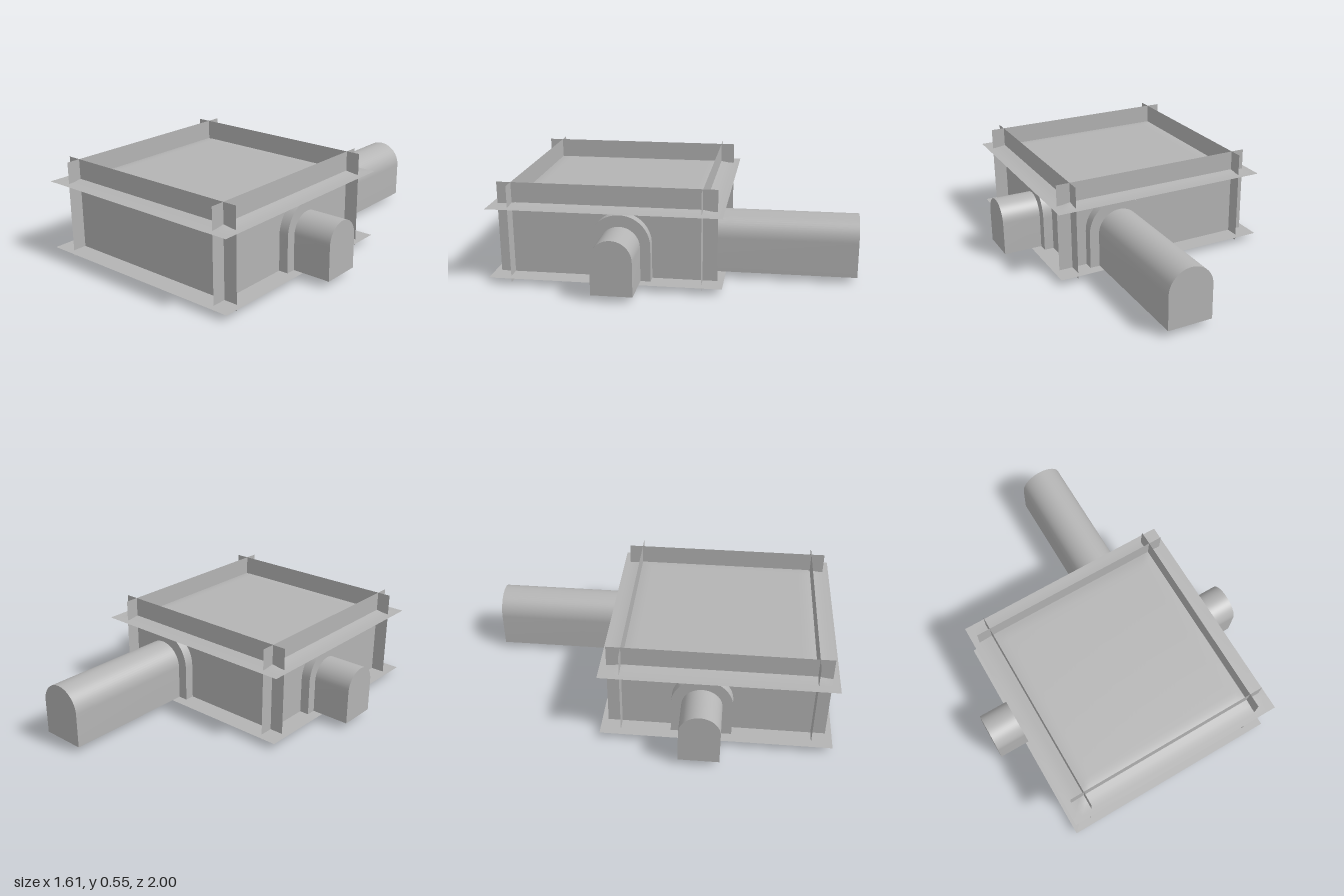
import * as THREE from 'three';
import { toCreasedNormals } from 'three/addons/utils/BufferGeometryUtils.js';

export function createModel() {
  const model = new THREE.Group();
  model.name = 'tunnelRoom';
  const stone = new THREE.MeshStandardMaterial({ color: 0xb4b4b4, side: THREE.DoubleSide });
  stone.name = 'grey stone';

  const add = (parent, name, geometry, x = 0, y = 0, z = 0) => {
    const mesh = new THREE.Mesh(geometry, stone);
    mesh.name = name;
    mesh.position.set(x, y, z);
    parent.add(mesh);
    return mesh;
  };

  const FLOOR = 0.035, MID_Z = 0.36;

  // Floor sheet reaching past the walls
  add(model, 'floor', new THREE.PlaneGeometry(1.28, 1.28).rotateX(-Math.PI / 2), 0, FLOOR, MID_Z);

  // Ceiling sheet: level flange around a slightly raised middle
  const ceiling = new THREE.PlaneGeometry(1.28, 1.28, 48, 48).rotateX(-Math.PI / 2);
  const p = ceiling.attributes.position;
  for (let i = 0; i < p.count; i++) {
    const inset = 0.64 - Math.max(Math.abs(p.getX(i)), Math.abs(p.getZ(i)));
    p.setY(i, 0.016 * THREE.MathUtils.smoothstep(inset, 0.04, 0.17));
  }
  ceiling.computeVertexNormals();
  add(model, 'ceiling', ceiling, 0, 0.427, MID_Z);

  // Four thin walls crossing one another at the corners
  const wall = new THREE.PlaneGeometry(1.21, 0.55);
  add(model, 'frontWall', wall, 0, 0.275, 0.885);
  add(model, 'backWall', wall, 0, 0.275, -0.165).rotation.y = Math.PI;
  for (const s of [-1, 1]) {
    add(model, s > 0 ? 'leftWall' : 'rightWall', wall, s * 0.525, 0.275, MID_Z).rotation.y = s * Math.PI / 2;
  }

  // Round-topped outline standing on the floor
  const trace = (path, radius, top) => {
    const spring = top - radius;
    path.moveTo(-radius, FLOOR);
    path.lineTo(radius, FLOOR);
    path.lineTo(radius, spring);
    path.absarc(0, spring, radius, 0, Math.PI, false);
    path.closePath();
    return path;
  };

  const extrude = (shape, depth) => toCreasedNormals(
    new THREE.ExtrudeGeometry(shape, { depth, bevelEnabled: false, curveSegments: 16 }), 0.5);

  // Tunnel with an arched surround, running outward from a wall
  const addTunnel = (name, radius, top, length, x, z, turn) => {
    const group = new THREE.Group();
    group.name = name;
    add(group, 'passage', extrude(trace(new THREE.Shape(), radius, top), length));
    const surround = trace(new THREE.Shape(), radius + 0.056, top + 0.065);
    // Opening is kept just above the base so the ring stays closed
    const hole = new THREE.Path();
    const spring = top - radius;
    hole.moveTo(-radius, FLOOR + 0.001);
    hole.lineTo(radius, FLOOR + 0.001);
    hole.lineTo(radius, spring);
    hole.absarc(0, spring, radius, 0, Math.PI, false);
    hole.closePath();
    surround.holes.push(hole);
    add(group, 'archSurround', extrude(surround, 0.055));
    group.position.set(x, 0, z);
    group.rotation.y = turn;
    model.add(group);
  };

  addTunnel('leftTunnel', 0.112, 0.34, 0.28, 0.525, 0.28, Math.PI / 2);
  addTunnel('rightTunnel', 0.112, 0.34, 0.28, -0.525, 0.28, -Math.PI / 2);
  addTunnel('backTunnel', 0.128, 0.36, 0.835, 0.253, -0.165, Math.PI);

  return model;
}
